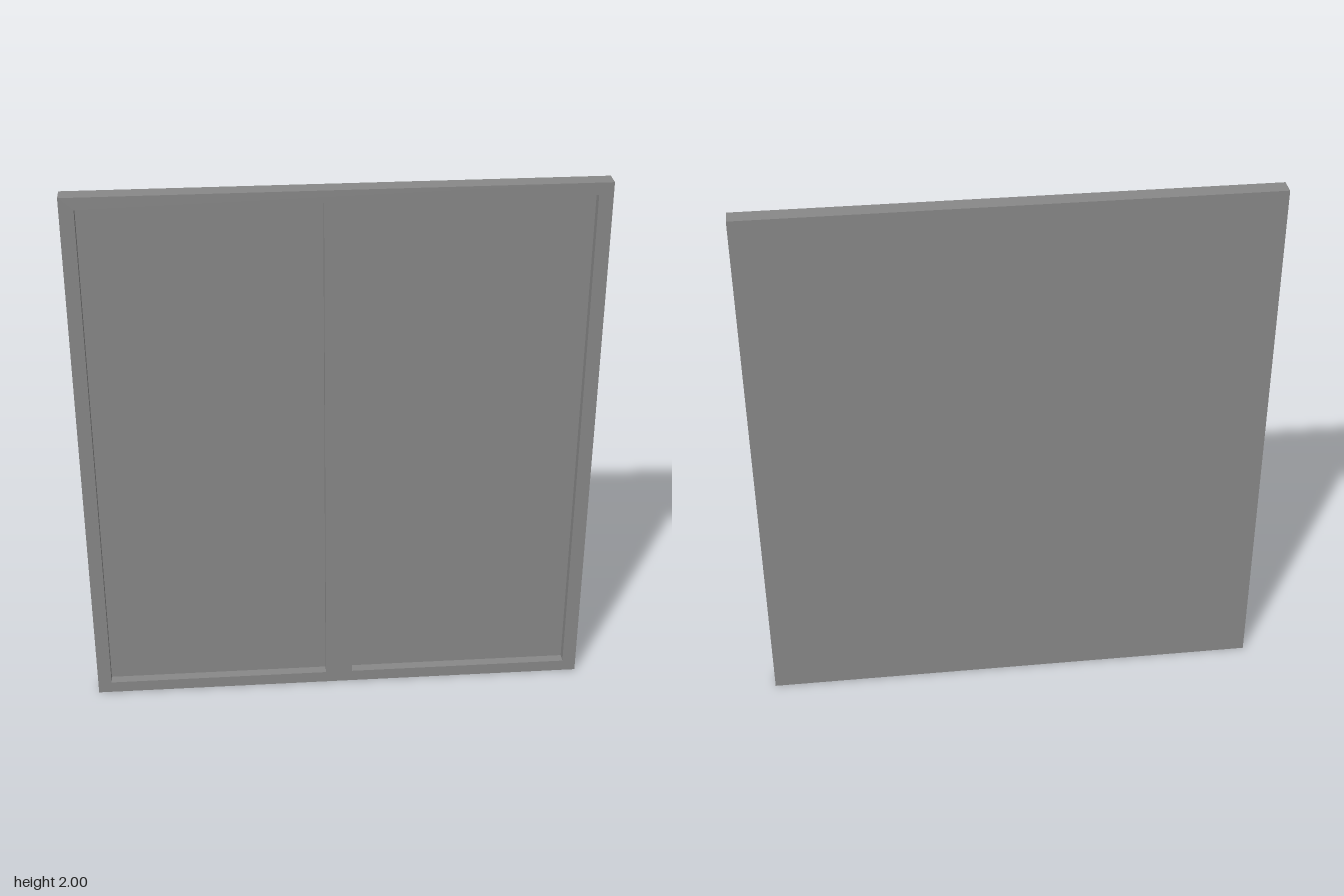
import * as THREE from 'three';

const HALF_W = 0.92, HEIGHT = 2, DEPTH = 0.063;
const RECESS = 0.036;           // how far the panels sit behind the frame face
const BORDER_X = 0.05, BORDER_Y = 0.044, HALF_MULLION = 0.05;

function rectangle(PathType, x0, y0, x1, y1) {
  const path = new PathType();
  path.moveTo(x0, y0);
  path.lineTo(x1, y0);
  path.lineTo(x1, y1);
  path.lineTo(x0, y1);
  path.closePath();
  return path;
}

export function createModel() {
  const group = new THREE.Group();
  group.name = 'doublePanelDoor';
  const material = new THREE.MeshStandardMaterial({ color: 0x888888 });

  // Solid back board, whose front shows as the two recessed panels
  const boardDepth = DEPTH - RECESS;
  const board = new THREE.Mesh(new THREE.BoxGeometry(2 * HALF_W, HEIGHT, boardDepth), material);
  board.name = 'backBoard';
  board.position.set(0, HEIGHT / 2, -DEPTH / 2 + boardDepth / 2);
  group.add(board);

  // Raised frame with a tall opening on either side of the centre post
  const outline = rectangle(THREE.Shape, -HALF_W, 0, HALF_W, HEIGHT);
  const inner = HALF_MULLION, outer = HALF_W - BORDER_X;
  for (const [x0, x1] of [[-outer, -inner], [inner, outer]]) {
    outline.holes.push(rectangle(THREE.Path, x0, BORDER_Y, x1, HEIGHT - BORDER_Y));
  }
  const frame = new THREE.Mesh(
    new THREE.ExtrudeGeometry(outline, { depth: RECESS, bevelEnabled: false }), material);
  frame.name = 'frame';
  frame.position.z = DEPTH / 2 - RECESS;
  group.add(frame);

  return group;
}
